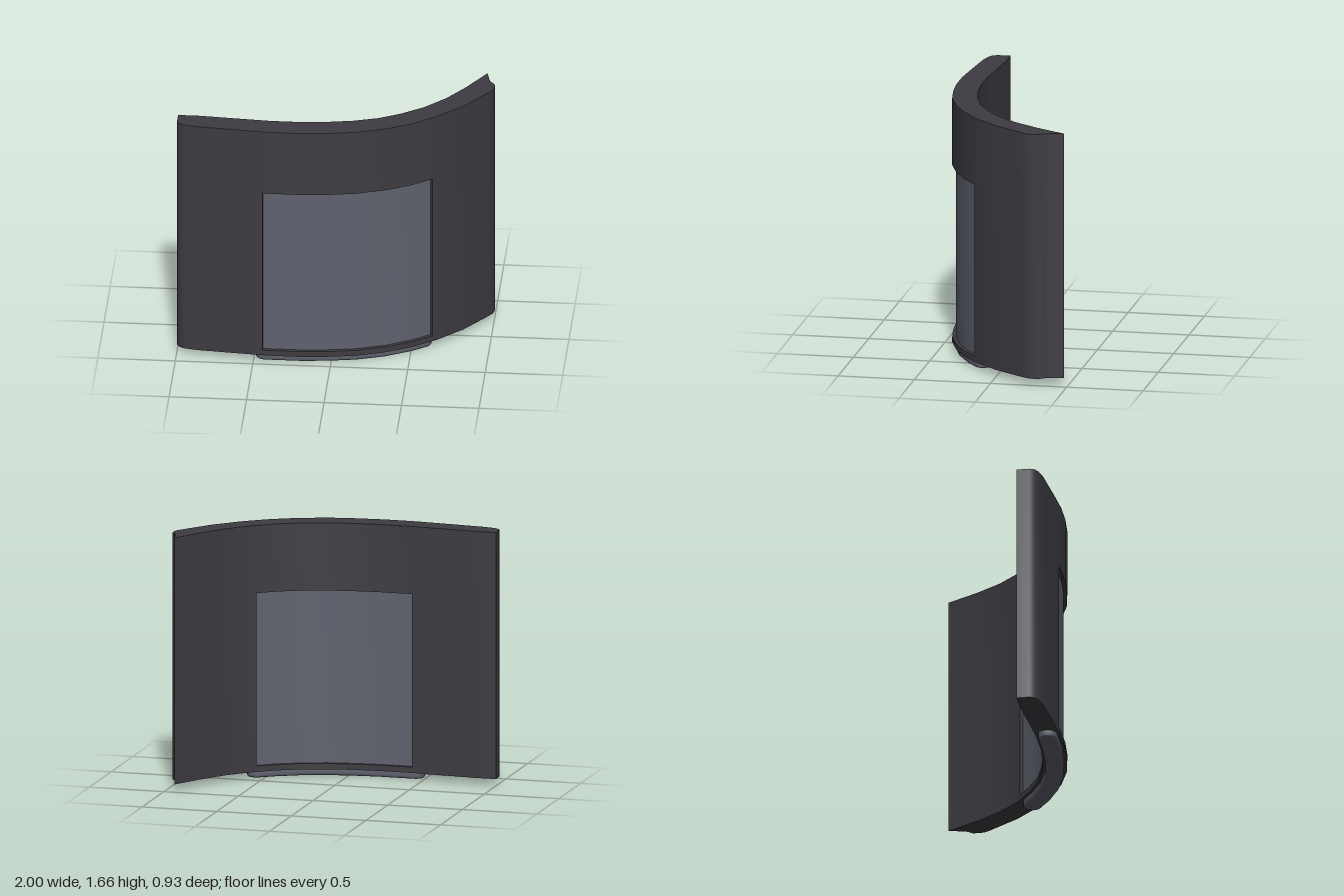
import * as THREE from 'three';
import { toCreasedNormals } from 'three/addons/utils/BufferGeometryUtils.js';

const wallMat = new THREE.MeshStandardMaterial({ color: 0x3e3c42 });
wallMat.name = 'charcoal';
const glassMat = new THREE.MeshStandardMaterial({ color: 0x5f626e });
glassMat.name = 'slateGlass';

// Wall plan as [x, z] points: the stretch with the window, outer and inner side
const OUTER = [[-0.44, 0.461], [-0.38, 0.465], [-0.2, 0.465], [-0.02, 0.45],
  [0.16, 0.42], [0.35, 0.355], [0.51, 0.27], [0.635, 0.178]];
const INNER = [[-0.43, 0.303], [-0.4, 0.305], [-0.2, 0.305], [-0.04, 0.29],
  [0.13, 0.26], [0.29, 0.21], [0.43, 0.135], [0.54, 0.056]];
const LAST = OUTER.length - 1;

// The two solid ends of the wall
const LEFT_END = [OUTER[0], [-0.62, 0.446], [-0.87, 0.422], [-0.95, 0.405], [-0.985, 0.385],
  [-1, 0.355], [-1, 0.27], [-0.86, 0.27], [-0.63, 0.288], INNER[0]];
const RIGHT_END = [OUTER[LAST], [0.67, 0.15], [0.82, 0], [0.96, -0.19], [0.99, -0.235],
  [1, -0.28], [0.995, -0.32], [0.965, -0.355], [0.957, -0.38], [0.937, -0.468],
  [0.82, -0.27], [0.7, -0.1], [0.57, 0.034], INNER[LAST]];

// Line running between the outer (t = 0) and inner (t = 1) sides
const between = t => OUTER.map(([x, z], i) => [
  x + (INNER[i][0] - x) * t, z + (INNER[i][1] - z) * t]);

const band = (t0, t1) => [...between(t0), ...between(t1).reverse()];

// Raise a plan outline from y0 to y1
function upright(name, plan, y0, y1, material, bevel = 0) {
  const shape = new THREE.Shape(plan.map(([x, z]) => new THREE.Vector2(x, -z)));
  let geo = new THREE.ExtrudeGeometry(shape, {
    depth: y1 - y0 - 2 * bevel, bevelEnabled: bevel > 0,
    bevelSize: bevel, bevelThickness: bevel, bevelSegments: 3,
  });
  geo.rotateX(-Math.PI / 2);
  geo.translate(0, y0 + bevel, 0);
  geo = toCreasedNormals(geo, 0.6);
  const mesh = new THREE.Mesh(geo, material);
  mesh.name = name;
  return mesh;
}

// Rounded strip of half width r along the middle of the wall
function stripPlan(r) {
  const mid = between(0.5);
  mid[0] = [-0.43, 0.384];
  mid[LAST] = [0.565, 0.135];
  const angle = i => {
    const a = mid[Math.max(i - 1, 0)], b = mid[Math.min(i + 1, LAST)];
    return Math.atan2(b[1] - a[1], b[0] - a[0]);
  };
  const at = (i, turn) => [
    mid[i][0] + r * Math.cos(angle(i) + turn), mid[i][1] + r * Math.sin(angle(i) + turn)];
  const plan = [];
  for (let i = 0; i <= LAST; i++) plan.push(at(i, Math.PI / 2));
  for (let k = 1; k < 8; k++) plan.push(at(LAST, Math.PI / 2 - k * Math.PI / 8));
  for (let i = LAST; i >= 0; i--) plan.push(at(i, -Math.PI / 2));
  for (let k = 1; k < 8; k++) plan.push(at(0, -Math.PI / 2 - k * Math.PI / 8));
  return plan;
}

export function createModel() {
  const model = new THREE.Group();
  model.name = 'curvedWallPanel';

  // Wall around the opening
  const wall = new THREE.Group();
  wall.name = 'wall';
  wall.add(
    upright('wallRightEnd', LEFT_END, 0.045, 1.665, wallMat),
    upright('wallLeftEnd', RIGHT_END, 0.045, 1.665, wallMat),
    upright('lintel', band(0, 1), 1.22, 1.665, wallMat),
    upright('sill', band(0, 1), 0.045, 0.083, wallMat),
  );

  // Pane set back from both faces, and the foot under the wall
  model.add(
    wall,
    upright('windowPane', band(0.15, 0.85), 0.083, 1.22, glassMat),
    upright('foot', stripPlan(0.045), 0, 0.075, glassMat, 0.015),
  );
  return model;
}
